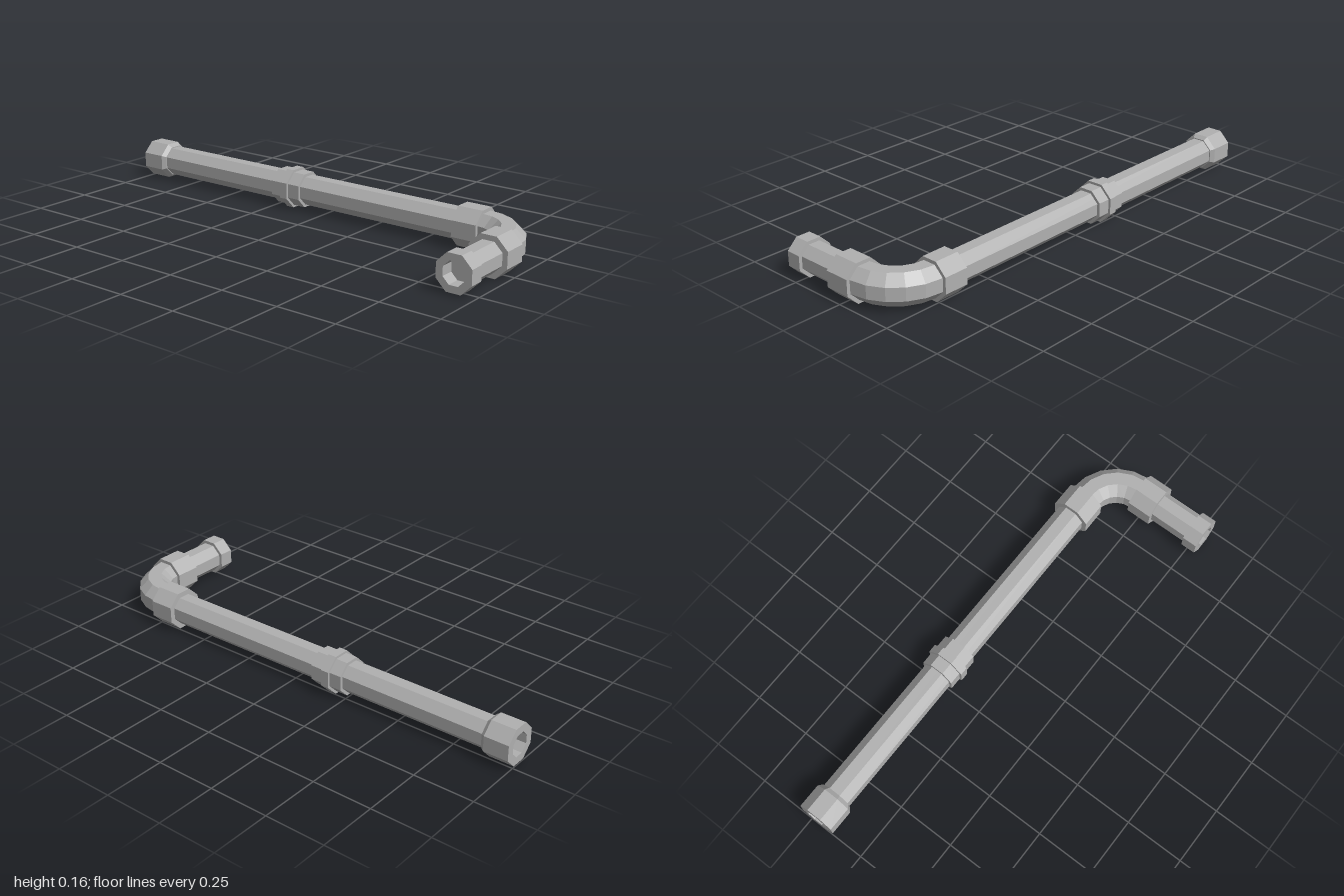
import * as THREE from 'three';

const AXIS_Y = 0.083, RUN_Z = -0.211, BRANCH_X = 0.919;
const BEND = { x: 0.755, z: -0.047 };   // centre of the elbow's arc
const ROUND = Math.cos(Math.PI / 8);    // flat half-width -> corner radius

const steel = new THREE.MeshStandardMaterial({ color: 0xb0b0b0, flatShading: true });
steel.name = 'steelGrey';

// Octagonal turned part; the profile is a list of [position along axis, half-width]
function turned(name, profile, axis) {
  const pts = profile.map(([p, h]) => new THREE.Vector2(h / ROUND, p));
  const geo = new THREE.LatheGeometry(pts, 8, Math.PI / 8);
  if (axis === 'x') geo.rotateZ(-Math.PI / 2).translate(0, AXIS_Y, RUN_Z);
  else geo.rotateX(Math.PI / 2).translate(BRANCH_X, AXIS_Y, 0);
  const mesh = new THREE.Mesh(geo, steel);
  mesh.name = name;
  return mesh;
}

// Plain octagonal length with closed ends
const bar = (name, a, b, half, axis) =>
  turned(name, [[a, 0], [a, half], [b, half], [b, 0]], axis);

export function createModel() {
  const model = new THREE.Group();
  model.name = 'pipe';

  // Long run along x
  model.add(turned('runEndSocket', [
    [-0.93, 0], [-0.93, 0.045], [-1, 0.045], [-1, 0.077],
    [-0.897, 0.077], [-0.88, 0.064], [-0.88, 0],
  ], 'x'));
  model.add(bar('longPipe', -0.89, 0.66, 0.06, 'x'));
  model.add(turned('coupling', [
    [-0.25, 0], [-0.25, 0.072], [-0.198, 0.072], [-0.198, 0.082],
    [-0.163, 0.082], [-0.163, 0.072], [-0.107, 0.072], [-0.107, 0],
  ], 'x'));
  model.add(bar('elbowCollarRun', 0.647, BEND.x, 0.081, 'x'));

  // Quarter bend: an octagon swept around the arc centre in five steps
  const section = [];
  for (let i = 0; i <= 8; i++) {
    const a = (i + 0.5) * Math.PI / 4, r = 0.067 / ROUND;
    section.push(new THREE.Vector2(BRANCH_X - BEND.x + r * Math.cos(a), r * Math.sin(a)));
  }
  const elbow = new THREE.Mesh(
    new THREE.LatheGeometry(section, 5, Math.PI / 2, Math.PI / 2), steel);
  elbow.name = 'elbow';
  elbow.position.set(BEND.x, AXIS_Y, BEND.z);
  model.add(elbow);

  // Short branch along z
  model.add(bar('elbowCollarBranch', BEND.z, 0.061, 0.081, 'z'));
  model.add(bar('shortPipe', 0.05, 0.232, 0.06, 'z'));
  model.add(turned('branchEndSocket', [
    [0.229, 0], [0.229, 0.0735], [0.293, 0.0735], [0.293, 0.045],
    [0.235, 0.045], [0.235, 0],
  ], 'z'));

  return model;
}
